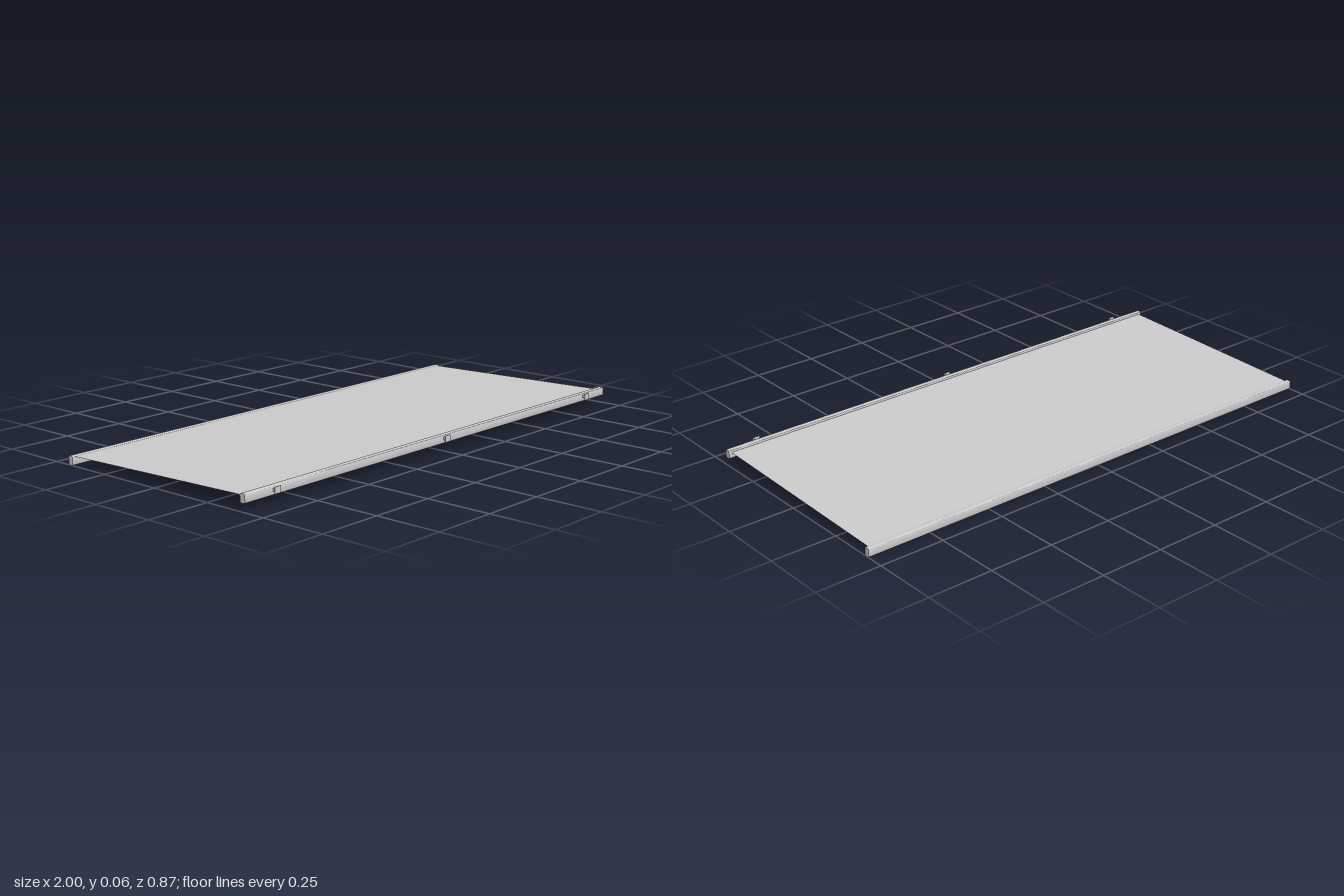
import * as THREE from 'three';
import { toCreasedNormals } from 'three/addons/utils/BufferGeometryUtils.js';

const material = new THREE.MeshStandardMaterial({ color: 0xcccccc });
const clothMaterial = new THREE.MeshStandardMaterial({ color: 0xcccccc, side: THREE.DoubleSide });
const v = (x, y, z) => new THREE.Vector3(x, y, z);

function add(parent, name, geometry, mat = material) {
  const mesh = new THREE.Mesh(geometry, mat);
  mesh.name = name;
  parent.add(mesh);
  return mesh;
}

// Extrudes a shape drawn in (-z, y) along x, centred on x = 0
function extrudeAlongX(shape, width) {
  const g = new THREE.ExtrudeGeometry(shape, { depth: width, bevelEnabled: false, curveSegments: 6 });
  g.translate(0, 0, -width / 2);
  g.rotateY(Math.PI / 2);
  return toCreasedNormals(g, 0.6);
}

// Upright rounded bar section between two z and two y values
function barSection(zBack, zFront, y0, y1, r) {
  const a = -zFront, b = -zBack;
  const s = new THREE.Shape();
  s.moveTo(a + r, y0);
  s.lineTo(b - r, y0);
  s.quadraticCurveTo(b, y0, b, y0 + r);
  s.lineTo(b, y1 - r);
  s.quadraticCurveTo(b, y1, b - r, y1);
  s.lineTo(a + r, y1);
  s.quadraticCurveTo(a, y1, a, y1 - r);
  s.lineTo(a, y0 + r);
  s.quadraticCurveTo(a, y0, a + r, y0);
  return s;
}

// Straight round tube between two points
function rod(from, to, radius) {
  const d = to.clone().sub(from);
  const g = new THREE.CylinderGeometry(radius, radius, d.length(), 12);
  g.applyQuaternion(new THREE.Quaternion().setFromUnitVectors(v(0, 1, 0), d.clone().normalize()));
  const mid = from.clone().add(to).multiplyScalar(0.5);
  return g.translate(mid.x, mid.y, mid.z);
}

export function createModel() {
  const model = new THREE.Group();
  model.name = 'awning';

  // Long rails that hold the cloth
  add(model, 'wallRail', extrudeAlongX(barSection(0.399, 0.421, 0.029, 0.061, 0.006), 2));
  add(model, 'leadingRail', extrudeAlongX(barSection(-0.435, -0.415, 0, 0.033, 0.005), 2));

  // Sloping sheet of cloth
  const zA = 0.408, yA = 0.0525, zB = -0.422, yB = 0.031;
  const cloth = new THREE.PlaneGeometry(1.98, Math.hypot(zA - zB, yA - yB));
  cloth.rotateX(-Math.PI / 2 + Math.atan2(yA - yB, zA - zB) * -1);
  cloth.translate(0, (yA + yB) / 2, (zA + zB) / 2);
  add(model, 'cloth', cloth, clothMaterial);

  // Folding arms, mirrored left and right
  for (const side of [1, -1]) {
    const arm = new THREE.Group();
    arm.name = side > 0 ? 'leftArm' : 'rightArm';
    const shoulder = v(side * 0.87, 0.0395, 0.405);
    const elbow = v(side * 0.567, 0.0262, -0.004);
    const wrist = v(side * 0.865, 0.0125, -0.418);
    add(arm, 'upperArm', rod(shoulder, elbow, 0.0075));
    add(arm, 'forearm', rod(elbow, wrist, 0.0065));
    for (const [name, p, r, h] of [
      ['shoulderJoint', shoulder, 0.009, 0.017],
      ['elbowJoint', elbow, 0.0085, 0.021],
      ['wristJoint', wrist, 0.008, 0.015],
    ]) {
      add(arm, name, new THREE.CylinderGeometry(r, r, h, 16)).position.copy(p);
    }
    model.add(arm);
  }

  // Wall brackets: flared foot with a short neck
  const foot = new THREE.Shape([
    [-0.435, 0.037], [-0.433, 0.037], [-0.428, 0.043], [-0.418, 0.043],
    [-0.418, 0.054], [-0.428, 0.054], [-0.433, 0.061], [-0.435, 0.061],
  ].map(([a, b]) => new THREE.Vector2(a, b)));
  for (const x of [-0.865, 0, 0.865]) {
    const bracket = new THREE.Group();
    bracket.name = 'wallBracket';
    add(bracket, 'neck', extrudeAlongX(foot, 0.018));
    add(bracket, 'wallPlate', new THREE.BoxGeometry(0.028, 0.024, 0.002)).position.set(0, 0.049, 0.434);
    bracket.position.x = x;
    model.add(bracket);
  }
  return model;
}
